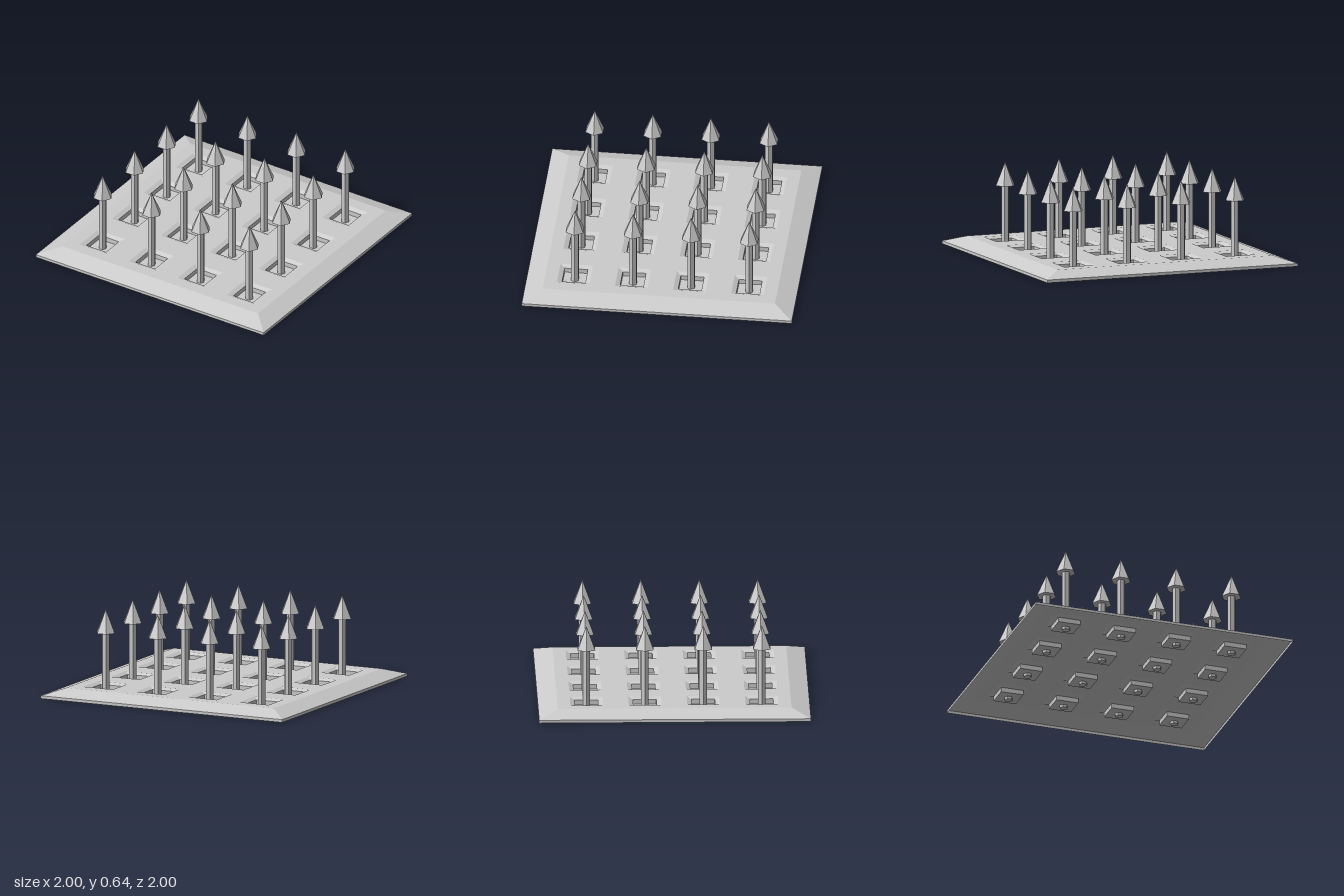
import * as THREE from 'three';

const TOP = 0.07;
const DECK = 0.86;   // half width of the flat deck
const PIT = 0.12;    // half width of a pit mouth
const SPACING = 0.43;

const metal = new THREE.MeshStandardMaterial({ color: 0xcccccc, flatShading: true });
const sheet = new THREE.MeshStandardMaterial({ color: 0xcccccc, flatShading: true, side: THREE.DoubleSide });

function addMesh(parent, name, geometry, material, y = 0) {
  const flat = geometry.index ? geometry.toNonIndexed() : geometry;
  flat.computeVertexNormals();
  const mesh = new THREE.Mesh(flat, material);
  mesh.name = name;
  mesh.position.y = y;
  parent.add(mesh);
  return mesh;
}

// Square-plan surface swept from a profile of [half width, height] pairs
function squareLathe(profile) {
  const points = profile.map(([h, y]) => new THREE.Vector2(h * Math.SQRT2, y));
  return new THREE.LatheGeometry(points, 4).rotateY(Math.PI / 4);
}

function squareOutline(target, x, y, h) {
  target.moveTo(x - h, y - h);
  target.lineTo(x + h, y - h);
  target.lineTo(x + h, y + h);
  target.lineTo(x - h, y + h);
  target.closePath();
  return target;
}

export function createModel() {
  const model = new THREE.Group();
  model.name = 'spikeTrap';

  const centres = [];
  for (let row = 0; row < 4; row++) {
    for (let col = 0; col < 4; col++) {
      centres.push([(col - 1.5) * SPACING, (row - 1.5) * SPACING]);
    }
  }

  // Base plate: open underneath, with a low rim and wide bevel
  addMesh(model, 'bevelledRim', squareLathe([[1, 0], [1, 0.022], [DECK, TOP]]), sheet);

  // Flat deck with square openings
  const deck = squareOutline(new THREE.Shape(), 0, 0, DECK);
  for (const [x, z] of centres) deck.holes.push(squareOutline(new THREE.Path(), x, -z, PIT));
  addMesh(model, 'deck', new THREE.ShapeGeometry(deck).rotateX(-Math.PI / 2), sheet, TOP);

  // Each opening holds a sunken pit and a hexagonal spike
  for (const [x, z] of centres) {
    const unit = new THREE.Group();
    unit.name = 'spikeUnit';
    unit.position.set(x, 0, z);

    const pit = squareLathe([[PIT, TOP], [0.086, 0.055], [0.086, 0.02], [0, 0.02]]);
    addMesh(unit, 'pit', pit, sheet);

    const shaft = new THREE.CylinderGeometry(0.031, 0.031, 0.47, 6).rotateY(Math.PI / 6);
    addMesh(unit, 'spikeShaft', shaft, metal, 0.235);

    const head = new THREE.ConeGeometry(0.075, 0.175, 6).rotateY(Math.PI / 6);
    addMesh(unit, 'spikeHead', head, metal, 0.465 + 0.0875);

    model.add(unit);
  }
  return model;
}
